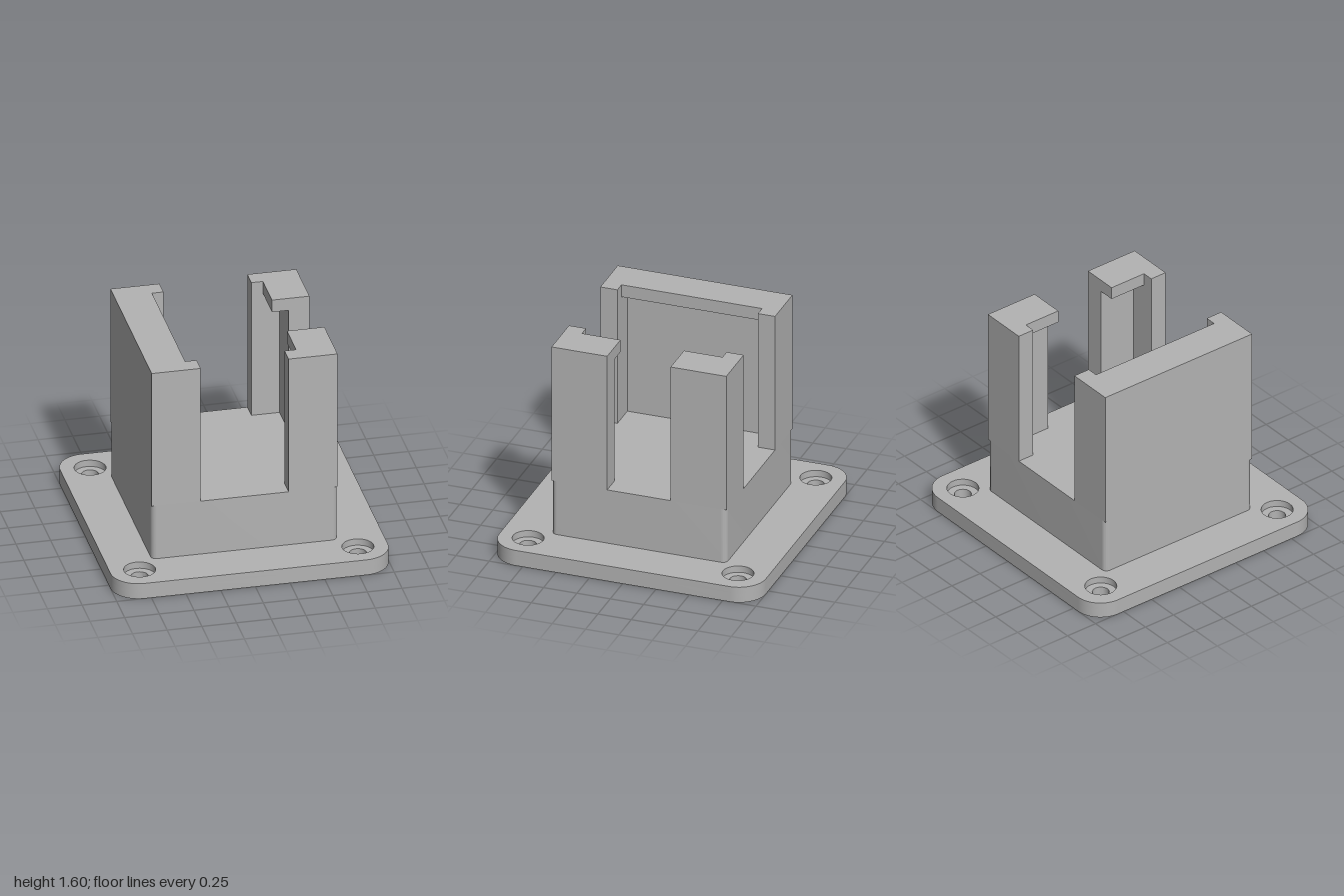
import * as THREE from 'three';
import { toCreasedNormals } from 'three/addons/utils/BufferGeometryUtils.js';

const grey = new THREE.MeshStandardMaterial({ color: 0xb3b3b3 });
grey.name = 'grey';

// Rectangle centred on the origin with rounded corners
function roundedRect(w, d, r) {
  const s = new THREE.Shape();
  s.absarc(w - r, d - r, r, 0, Math.PI / 2);
  s.absarc(r - w, d - r, r, Math.PI / 2, Math.PI);
  s.absarc(r - w, r - d, r, Math.PI, Math.PI * 1.5);
  s.absarc(w - r, r - d, r, Math.PI * 1.5, Math.PI * 2);
  s.closePath();
  return s;
}

// Footprint from [x, z] corners
const footprint = (pts) => new THREE.Shape(pts.map(([x, z]) => new THREE.Vector2(x, -z)));

// Raise a footprint from height y0 to y1
function slab(name, shape, y0, y1) {
  const geo = new THREE.ExtrudeGeometry(shape, { depth: y1 - y0, bevelEnabled: false, curveSegments: 14 });
  geo.rotateX(-Math.PI / 2).translate(0, y0, 0);
  const mesh = new THREE.Mesh(toCreasedNormals(geo, 0.6), grey);
  mesh.name = name;
  return mesh;
}

// Mounting plate layer with four screw holes
function plate(name, y0, y1, holeRadius) {
  const s = roundedRect(1, 1, 0.2);
  for (const x of [-0.787, 0.787]) for (const z of [-0.787, 0.787]) {
    const hole = new THREE.Path();
    hole.absarc(x, z, holeRadius, 0, Math.PI * 2, true);
    s.holes.push(hole);
  }
  return slab(name, s, y0, y1);
}

export function createModel() {
  const model = new THREE.Group();
  const X = 0.67, Z = 0.655, slotX = 0.317, slotZ = 0.238, inZ = 0.527;
  const floorY = 0.54, lipY = 1.5, topY = 1.595;

  // Plate: narrow holes below, wider counterbores above
  model.add(plate('basePlate', 0, 0.07, 0.06));
  model.add(plate('counterboreLayer', 0.07, 0.12, 0.113));

  // Solid block with slightly rounded upright edges
  model.add(slab('socketBlock', roundedRect(X, Z, 0.04), 0.12, floorY));

  // Walls, then the same outline with a thicker lip overhanging the cavity
  for (const [part, inX, y0, y1] of [['', 0.52, floorY, lipY], ['Lip', 0.4, lipY, topY]]) {
    model.add(slab('rightWall' + part, footprint([
      [-X, -Z], [-slotX, -Z], [-slotX, -inZ], [-inX, -inZ],
      [-inX, inZ], [-slotX, inZ], [-slotX, Z], [-X, Z],
    ]), y0, y1));
    for (const [end, s] of [['Front', 1], ['Back', -1]]) {
      model.add(slab('left' + end + 'Post' + part, footprint([
        [X, s * Z], [slotX, s * Z], [slotX, s * inZ],
        [inX, s * inZ], [inX, s * slotZ], [X, s * slotZ],
      ]), y0, y1));
    }
  }
  return model;
}
